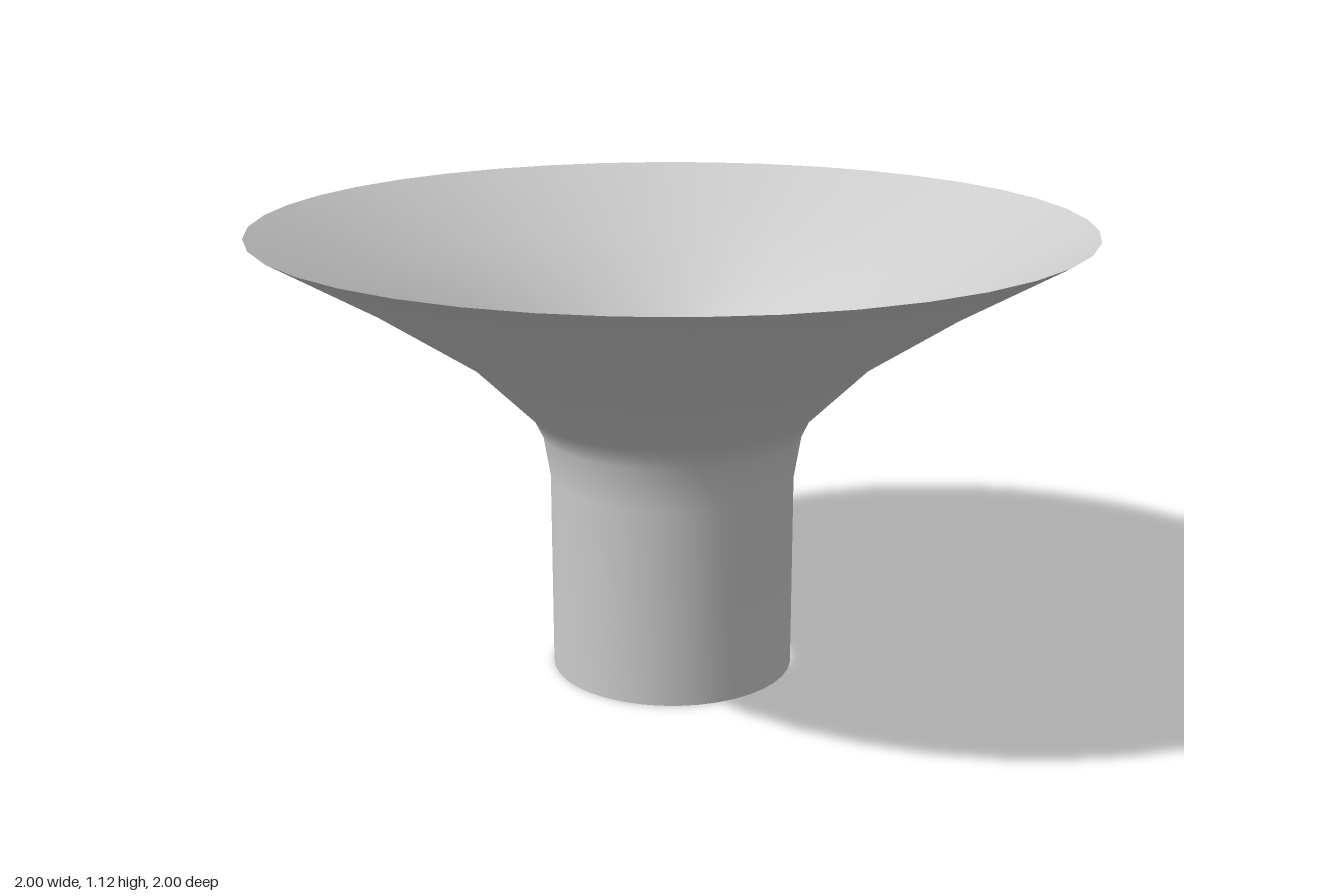
import * as THREE from 'three';

export function createModel() {
  const group = new THREE.Group();
  const material = new THREE.MeshStandardMaterial({ color: 0xcccccc, side: THREE.DoubleSide });

  // Open, thin-walled funnel: straight tube flaring into a wide mouth
  const profile = [
    [0.30, 0], [0.30, 0.49], [0.318, 0.60], [0.342, 0.65],
    [0.50, 0.805], [0.75, 0.97], [1.0, 1.115],
  ].map(([r, y]) => new THREE.Vector2(r, y));

  const funnel = new THREE.Mesh(new THREE.LatheGeometry(profile, 40), material);
  funnel.name = 'funnel';
  group.add(funnel);
  return group;
}
